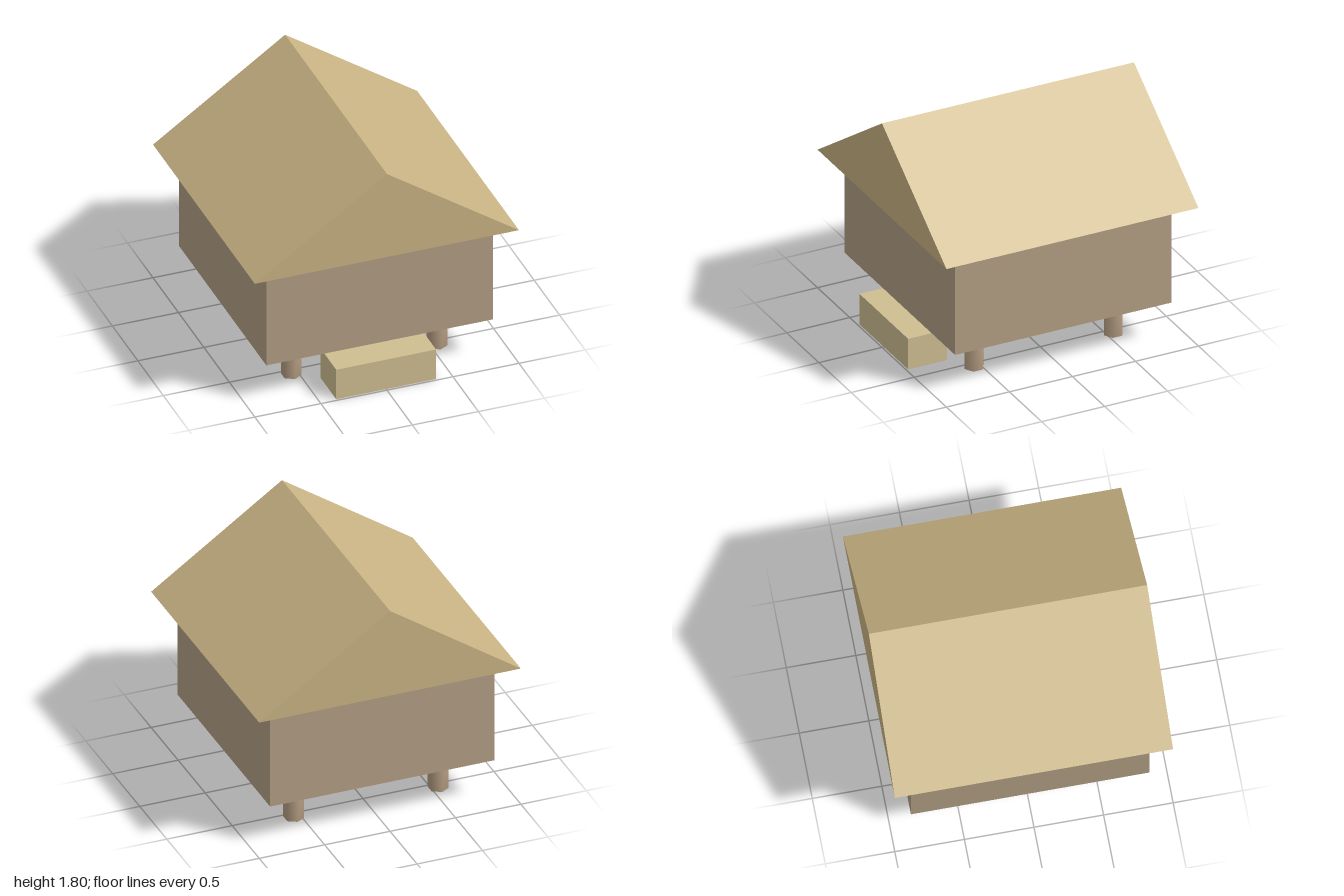
import * as THREE from 'three';
import { mergeVertices } from 'three/addons/utils/BufferGeometryUtils.js';

const material = (color) => new THREE.MeshStandardMaterial({ color });

export function createModel() {
  const hut = new THREE.Group();
  hut.name = 'stiltHut';

  const add = (name, geometry, mat, x, y, z) => {
    const mesh = new THREE.Mesh(geometry, mat);
    mesh.name = name;
    mesh.position.set(x, y, z);
    hut.add(mesh);
  };

  // Square room raised above the ground
  const floorY = 0.315, eavesY = 1.107, ridgeY = 1.797;
  add('walls', new THREE.BoxGeometry(1.716, eavesY - floorY, 1.716),
    material(0xb39f84), 0, (floorY + eavesY) / 2, 0);

  // Solid gabled roof, ridge running front to back
  const gable = new THREE.Shape([
    new THREE.Vector2(-1, eavesY),
    new THREE.Vector2(1, eavesY),
    new THREE.Vector2(0, ridgeY),
  ]);
  add('roof', new THREE.ExtrudeGeometry(gable, { depth: 2, bevelEnabled: false }),
    material(0xc8b383), 0, 0, -1);

  // Six-sided posts with normals smoothed across sides and ends
  let post = new THREE.CylinderGeometry(0.075, 0.075, floorY, 6);
  post.deleteAttribute('normal');
  post.deleteAttribute('uv');
  post = mergeVertices(post);
  post.computeVertexNormals();
  const postMaterial = material(0xb8a084);
  for (const [side, x] of [['Left', 0.552], ['Right', -0.552]]) {
    for (const [end, z] of [['front', 0.553], ['back', -0.553]]) {
      add(`${end}${side}Post`, post, postMaterial, x, floorY / 2, z);
    }
  }

  // Entrance step at the front
  add('step', new THREE.BoxGeometry(0.756, 0.245, 0.306),
    material(0xcfbe91), 0, 0.1225, 0.832);

  return hut;
}
